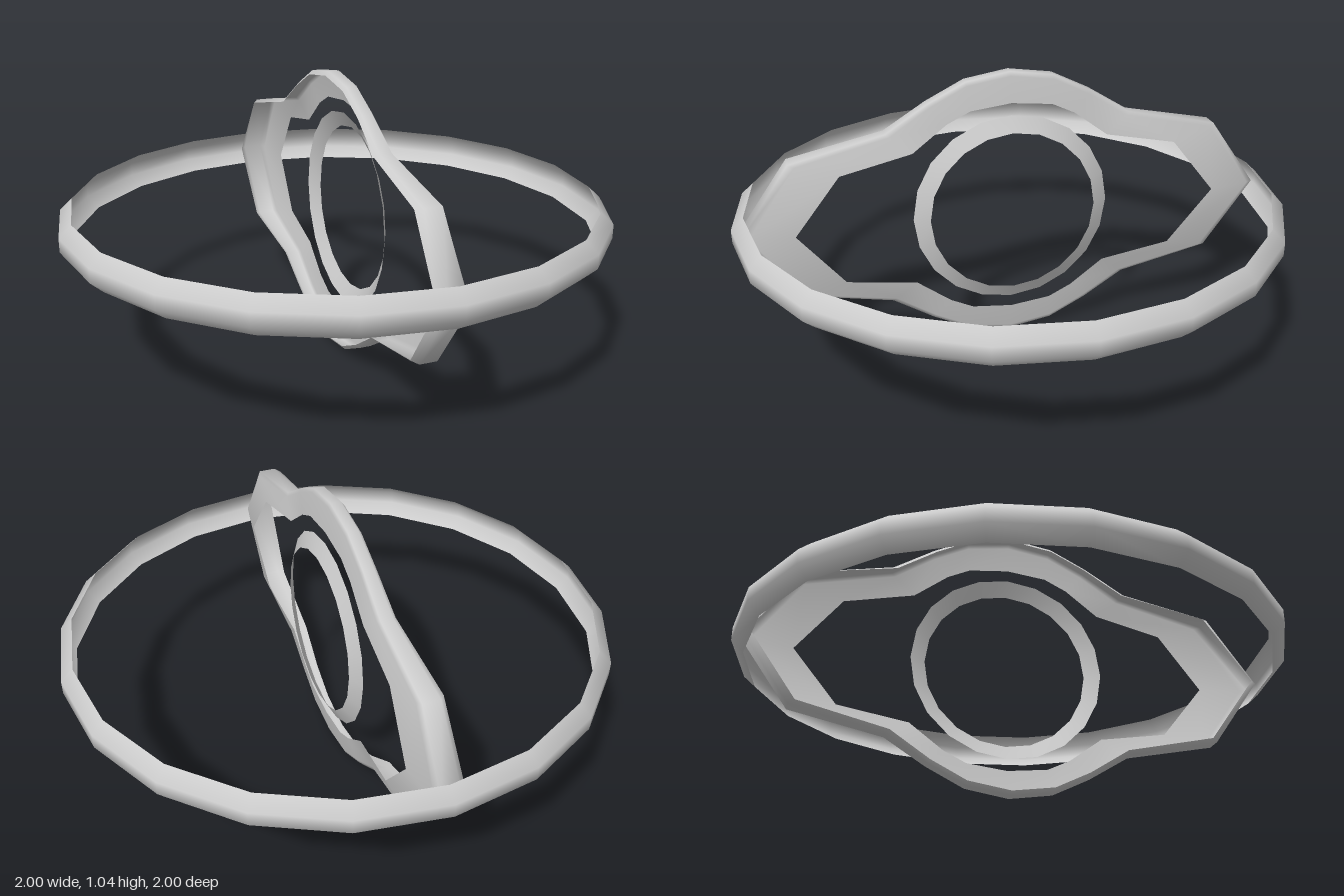
import * as THREE from 'three';

const CENTER_Y = 0.52;
const material = new THREE.MeshStandardMaterial({ color: 0xcccccc, side: THREE.DoubleSide });

// Skins a closed loop of open cross-sections, each a list of [x, y, z]
function band(name, sections) {
  const n = sections.length, m = sections[0].length, index = [];
  for (let i = 0; i < n; i++) {
    for (let j = 0; j < m - 1; j++) {
      const a = i * m + j, b = ((i + 1) % n) * m + j;
      index.push(a, b, a + 1, b, b + 1, a + 1);
    }
  }
  const geometry = new THREE.BufferGeometry();
  geometry.setAttribute('position', new THREE.Float32BufferAttribute(sections.flat(2), 3));
  geometry.setIndex(index);
  geometry.computeVertexNormals();
  const mesh = new THREE.Mesh(geometry, material);
  mesh.name = name;
  return mesh;
}

// Cross-sections at 20 equal angles around a circle
function around(section) {
  return Array.from({ length: 20 }, (_, i) => {
    const t = (i / 20) * Math.PI * 2;
    return section(Math.sin(t), Math.cos(t));
  });
}

export function createModel() {
  const group = new THREE.Group();

  // Horizontal outer ring with chamfered rims
  const rim = [[0.955, -0.067], [1, -0.025], [1, 0.025], [0.955, 0.067]];
  group.add(band('outerRing', around((s, c) => rim.map(([r, y]) => [r * s, y, r * c]))));

  // Small conical ring in the middle
  const cone = [[0.365, 0.035], [0.308, 0.065]];
  group.add(band('innerRing', around((s, c) => cone.map(([r, x]) => [x, r * c, r * s]))));

  // Upright eye-shaped frame, one quadrant: outer z, y, inner z, y, back x, front x
  const quadrant = [
    [0, 0.52, 0, 0.41, -0.035, 0.035],
    [0.16, 0.495, 0.15, 0.393, -0.035, 0.035],
    [0.3, 0.425, 0.235, 0.352, -0.036, 0.035],
    [0.45, 0.33, 0.36, 0.257, -0.042, 0.038],
    [0.79, 0.255, 0.62, 0.207, -0.058, 0.055],
    [0.97, 0, 0.785, 0, -0.065, 0.065],
  ];
  const flip = (list, sz, sy) =>
    list.map(([oz, oy, iz, iy, b, f]) => [oz * sz, oy * sy, iz * sz, iy * sy, b, f]);
  const reversed = [...quadrant].reverse();
  const outline = [
    ...quadrant,
    ...flip(reversed.slice(1), 1, -1),
    ...flip(quadrant.slice(1), -1, -1),
    ...flip(reversed.slice(1, -1), -1, 1),
  ];
  // Rounded outer wall, then a slope to the inner edge
  group.add(band('uprightFrame', outline.map(([oz, oy, iz, iy, back, front]) => {
    const at = (x, k) => [x, oy + (iy - oy) * k, oz + (iz - oz) * k];
    return [at(back, 0.14), at(back * 0.65, 0), at(front * 0.45, 0), at(front * 0.65, 0.14), at(front, 1)];
  })));

  for (const part of group.children) part.position.y = CENTER_Y;
  return group;
}
